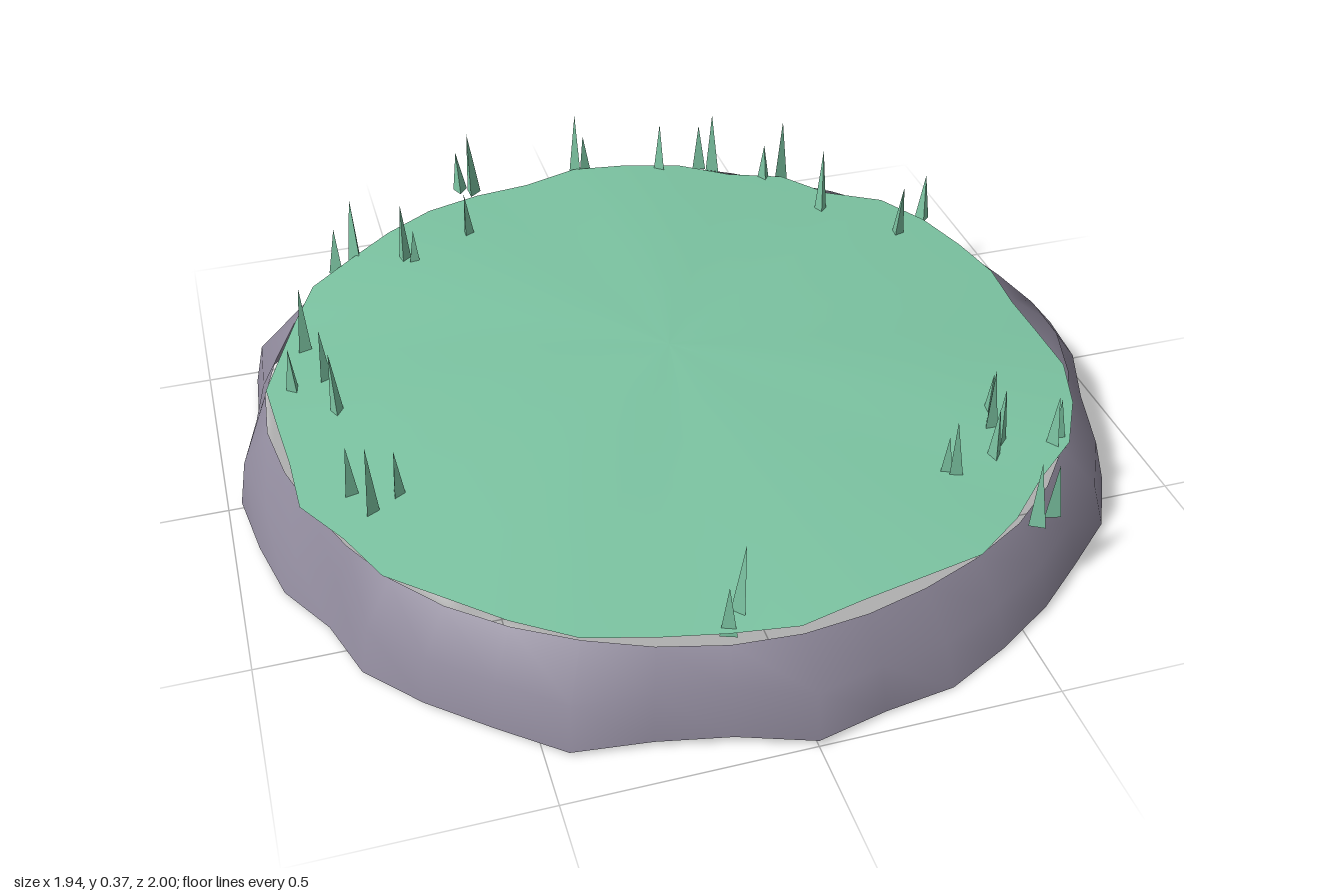
import * as THREE from 'three';

const SEGMENTS = 40;

// Radii run clockwise seen from above, starting at the back (-z), one every 9 degrees
const RIM = [
  1, .94, .995, 1, .95, .97, .98, .98, .94, .96, .97, .96, .95, .98, .99, .97, .97, .97, .98, .97,
  1, .96, .96, 1, .98, .98, .98, .94, .96, .96, .97, .94, .95, 1, .97, .96, .99, 1, 1, .96];
const EDGE = [
  .89, .88, .875, .85, .88, .85, .89, .88, .865, .86, .84, .85, .88, .89, .895, .87, .88, .89, .865, .86,
  .88, .87, .875, .895, .89, .885, .9, .88, .9, .87, .87, .89, .875, .88, .9, .88, .88, .885, .875, .86];

// Blade positions: x, z
const BLADES = [
  [-.3, -.91], [-.27, -.89], [.01, -.9], [.03, -.9], [.22, -.83], [.33, -.85], [.36, -.82],
  [.47, -.72], [.52, -.74], [.55, -.51], [.8, -.44], [.69, -.35], [-.66, -.61], [-.61, -.64],
  [-.5, -.57], [-.48, -.55], [-.33, -.63], [-.78, -.27], [-.82, -.12], [-.75, -.13], [-.74, 0],
  [-.75, .27], [-.72, .34], [-.66, .31], [-.1, .81], [-.13, .84], [.6, .39], [.58, .44],
  [.58, .49], [.55, .53], [.45, .56], [.43, .55], [.69, .52], [.71, .5], [.56, .72], [.6, .7]];

function seeded(seed) {
  return () => {
    seed = (seed * 16807) % 2147483647;
    return seed / 2147483647;
  };
}

// Skins closed rows of points; point(row, i) returns [radius, y]
function loft(rows, point) {
  const positions = [], index = [];
  for (let r = 0; r < rows; r++) {
    for (let i = 0; i < SEGMENTS; i++) {
      const a = (i / SEGMENTS) * Math.PI * 2;
      const [radius, y] = point(r, i);
      positions.push(radius * Math.sin(a), y, -radius * Math.cos(a));
      if (r === rows - 1) continue;
      const j = (i + 1) % SEGMENTS;
      const p = r * SEGMENTS + i, q = r * SEGMENTS + j;
      index.push(p, p + SEGMENTS, q, q, p + SEGMENTS, q + SEGMENTS);
    }
  }
  const geometry = new THREE.BufferGeometry();
  geometry.setAttribute('position', new THREE.Float32BufferAttribute(positions, 3));
  geometry.setIndex(index);
  geometry.computeVertexNormals();
  return geometry;
}

export function createModel() {
  const group = new THREE.Group();
  const random = seeded(41);
  const stone = new THREE.MeshStandardMaterial({ color: 0x8f899b, side: THREE.DoubleSide });
  const green = new THREE.MeshStandardMaterial({ color: 0x7cc4a2, side: THREE.DoubleSide });
  const grass = new THREE.MeshStandardMaterial({ color: 0x7cc4a2, flatShading: true });

  // Open stone band, leaning inwards towards the top
  const rim = new THREE.Mesh(loft(3, (row, i) => {
    const wave = Math.sin(i * 1.3) * 0.5 + Math.sin(i * 0.6 + 1) * 0.5;
    if (row === 0) return [0.885 + wave * 0.012, 0.188 + wave * 0.007];
    if (row === 1) return [RIM[i] - 0.025 + wave * 0.01, 0.11 + wave * 0.02];
    return [RIM[i], 0.01 + wave * 0.01];
  }), stone);
  rim.name = 'stoneRim';
  group.add(rim);

  // Shallow domed top with faint radial ripples
  const levels = [0, 0.25, 0.5, 0.75, 1];
  const top = new THREE.Mesh(loft(levels.length, (row, i) => {
    const t = levels[row];
    const ripple = (Math.sin(i * 1.1) + Math.sin(i * 0.47 + 2)) * 0.003 * t;
    return [EDGE[i] * t, 0.247 - 0.044 * t * t + ripple];
  }), green);
  top.name = 'grassTop';
  group.add(top);

  // Three-sided blades scattered round the edge
  const blades = new THREE.Group();
  blades.name = 'grassBlades';
  const bladeGeometry = new THREE.ConeGeometry(0.02, 1, 3).translate(0, 0.5, 0);
  for (const [x, z] of BLADES) {
    const blade = new THREE.Mesh(bladeGeometry, grass);
    blade.name = 'blade';
    blade.position.set(x, 0.18, z);
    blade.scale.y = 0.11 + random() * 0.08;
    blade.rotation.set((random() - 0.5) * 0.15, random() * Math.PI * 2, (random() - 0.5) * 0.15);
    blades.add(blade);
  }
  group.add(blades);
  return group;
}
